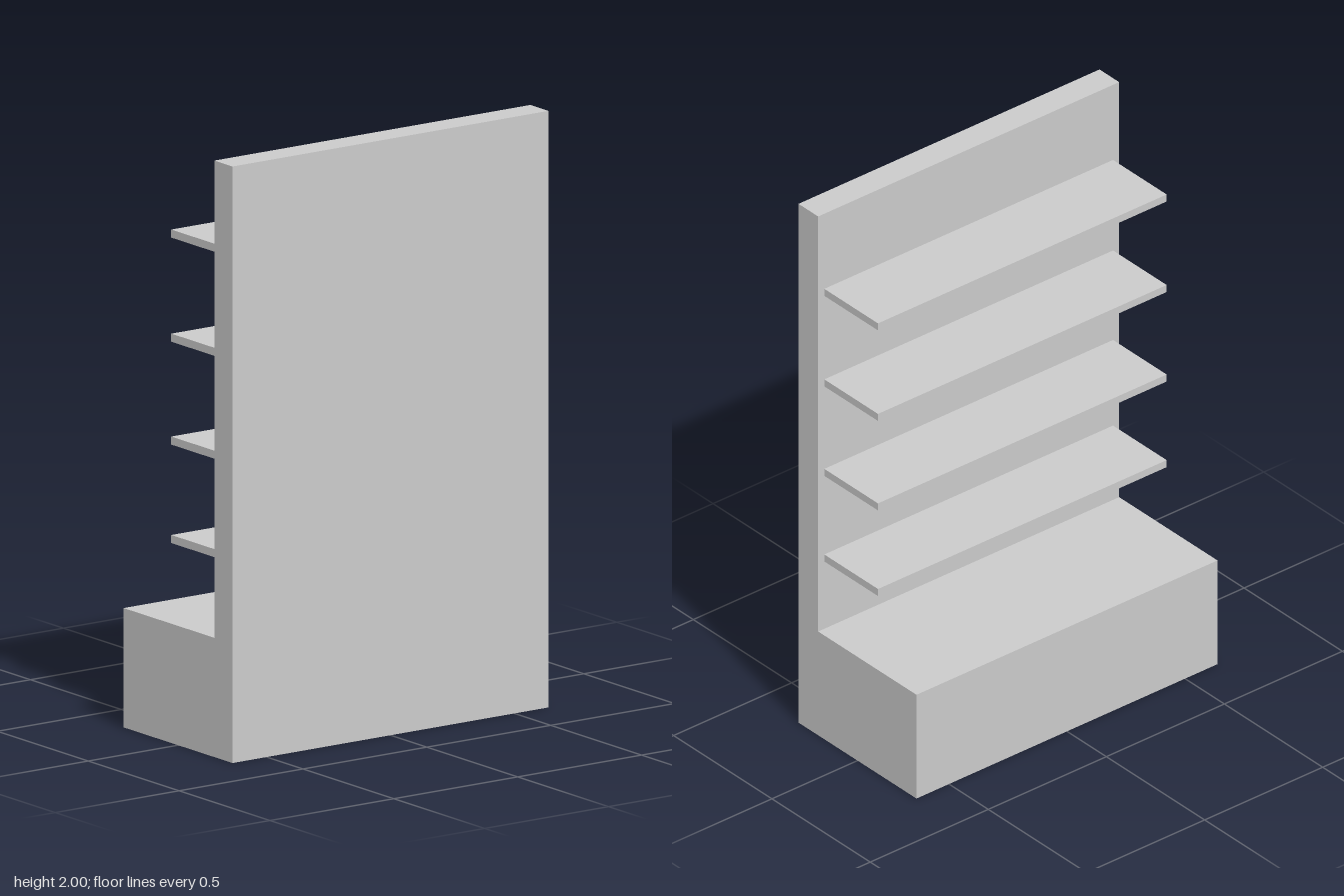
import * as THREE from 'three';

const DEPTH = 1.275;
const SHELF_LENGTH = 1.223;
const SHELF_THICKNESS = 0.027;
const SHELF_INNER = 0.2; // face of the back panel
const SHELF_OUTER = -0.073;

export function createModel() {
  const group = new THREE.Group();
  group.name = 'shelvingUnit';
  const material = new THREE.MeshStandardMaterial({ color: 0xcccccc, flatShading: true });

  // L-shaped body: low plinth and tall back panel in one piece
  const profile = new THREE.Shape([
    [-0.3, 0], [0.3, 0], [0.3, 2], [SHELF_INNER, 2], [SHELF_INNER, 0.4], [-0.3, 0.4],
  ].map(([x, y]) => new THREE.Vector2(x, y)));
  const bodyGeometry = new THREE.ExtrudeGeometry(profile, { depth: DEPTH, bevelEnabled: false });
  bodyGeometry.translate(0, 0, -DEPTH / 2);
  const body = new THREE.Mesh(bodyGeometry, material);
  body.name = 'baseAndBackPanel';
  group.add(body);

  // Four thin shelves fixed to the panel
  const shelfGeometry = new THREE.BoxGeometry(SHELF_INNER - SHELF_OUTER, SHELF_THICKNESS, SHELF_LENGTH);
  [0.673, 1.003, 1.348, 1.697].forEach((y, i) => {
    const shelf = new THREE.Mesh(shelfGeometry, material);
    shelf.name = `shelf${i + 1}`;
    shelf.position.set((SHELF_INNER + SHELF_OUTER) / 2, y, 0);
    group.add(shelf);
  });

  return group;
}
